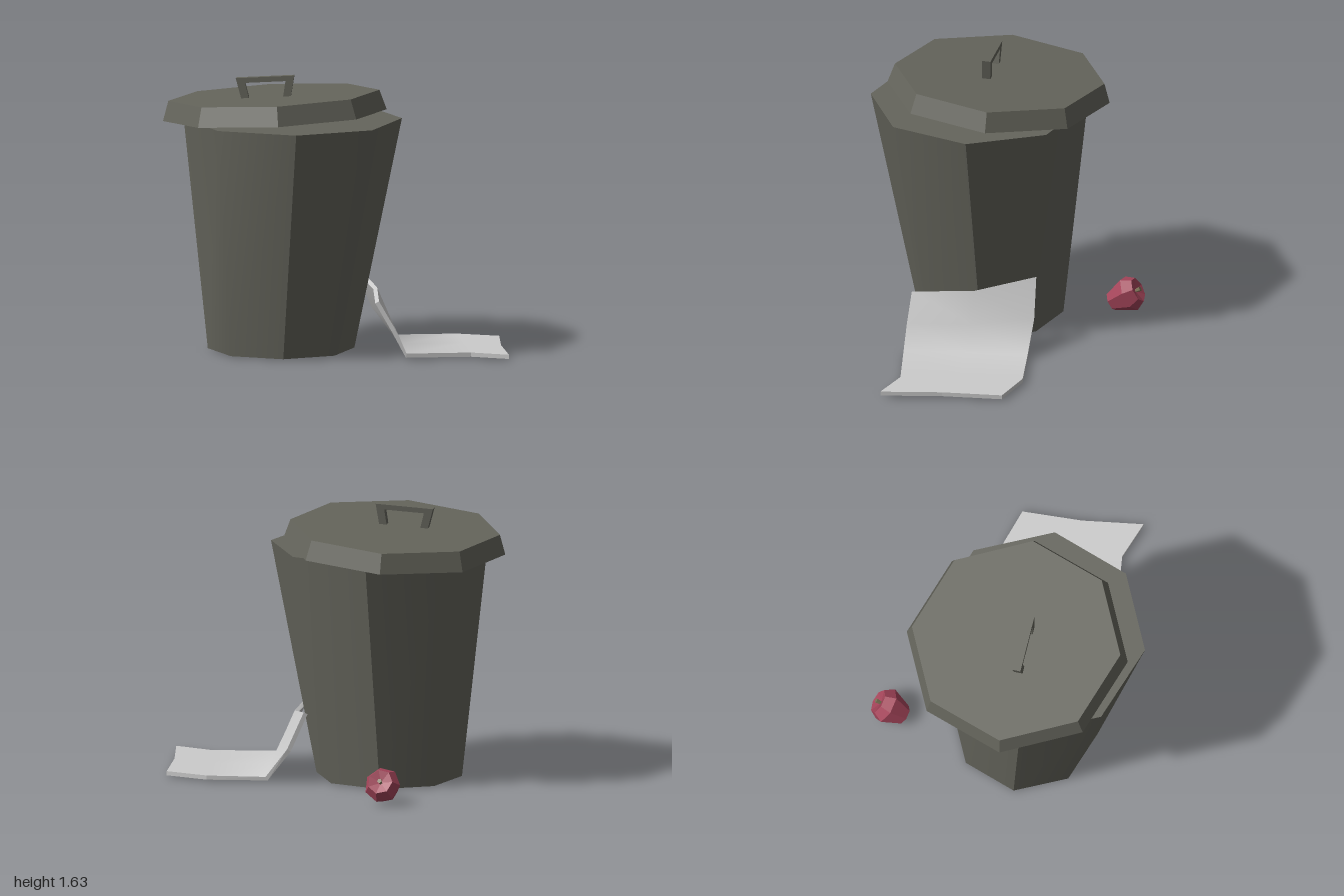
import * as THREE from 'three';

const material = (color, options = {}) => new THREE.MeshStandardMaterial({ color, ...options });

function addMesh(parent, name, geometry, mat) {
  const mesh = new THREE.Mesh(geometry, mat);
  mesh.name = name;
  parent.add(mesh);
  return mesh;
}

// Tapered, slightly leaning eight-sided can; each side pair is softly shaded
function createCan(mat) {
  const can = new THREE.Group();
  can.name = 'can';
  const bottom = 0.015, top = 1.385, rBottom = 0.43, rTop = 0.64;
  const height = top - bottom;
  for (let k = 0; k < 4; k++) {
    const g = new THREE.CylinderGeometry(rTop, rBottom, height, 2, 1, true, Math.PI / 4 + k * Math.PI / 2, Math.PI / 2);
    const p = g.attributes.position;
    for (let i = 0; i < p.count; i++) {
      const t = p.getY(i) / height + 0.5;
      p.setX(i, p.getX(i) - 0.29 + 0.09 * t);
      p.setZ(i, p.getZ(i) + 0.21 - 0.005 * t);
    }
    g.translate(0, (top + bottom) / 2, 0);
    g.computeVertexNormals();
    addMesh(can, 'canWall', g, mat);
  }
  const topCap = addMesh(can, 'canTop', new THREE.CircleGeometry(rTop, 8), mat);
  topCap.rotation.x = -Math.PI / 2;
  topCap.position.set(-0.2, top, 0.205);
  const base = addMesh(can, 'canBase', new THREE.CircleGeometry(rBottom, 8), mat);
  base.rotation.x = Math.PI / 2;
  base.position.set(-0.29, bottom, 0.21);
  return can;
}

// Tilted, shifted lid with an arch handle
function createLid(mat) {
  const lid = new THREE.Group();
  lid.name = 'lid';
  const height = 0.117;
  const plate = new THREE.CylinderGeometry(0.62, 0.657, height, 8);
  plate.translate(0, height / 2, 0);
  addMesh(lid, 'lidPlate', plate, mat);

  const arch = new THREE.Shape([
    [-0.145, -0.005], [-0.172, 0.12], [0.172, 0.12], [0.145, -0.005],
    [0.1, -0.005], [0.119, 0.09], [-0.119, 0.09], [-0.1, -0.005],
  ].map(([x, y]) => new THREE.Vector2(x, y)));
  const handleGeometry = new THREE.ExtrudeGeometry(arch, { depth: 0.05, bevelEnabled: false });
  handleGeometry.translate(0, 0, -0.025);
  const handle = addMesh(lid, 'lidHandle', handleGeometry, mat);
  handle.position.set(0.007, height, 0.073);
  handle.rotation.y = 0.704;

  lid.position.set(-0.345, 1.39, 0.205);
  lid.rotation.z = 0.0686;
  return lid;
}

// Bent sheet: rows run from the flat far edge to the edge leaning on the can
function createSheet(mat) {
  const rows = [
    [[0.99, 0.032, -0.38], [0.71, 0.032, -0.61], [0.46, 0.032, -0.86]],
    [[0.77, 0.032, -0.29], [0.49, 0.032, -0.52], [0.22, 0.032, -0.75]],
    [[0.52, 0.032, 0.0], [0.25, 0.032, -0.25], [-0.02, 0.032, -0.49]],
    [[0.46, 0.18, 0.045], [0.18, 0.19, -0.21], [-0.13, 0.21, -0.41]],
    [[0.38, 0.345, 0.1], [0.12, 0.37, -0.16], [-0.2, 0.435, -0.34]],
  ];
  const cols = 3, half = 0.0125;
  const faces = [];
  for (let r = 0; r < rows.length - 1; r++) {
    for (let c = 0; c < cols - 1; c++) {
      const a = r * cols + c, b = a + 1, d = a + cols, e = d + 1;
      faces.push(a, b, d, b, e, d);
    }
  }
  const middle = new THREE.BufferGeometry();
  middle.setAttribute('position', new THREE.Float32BufferAttribute(rows.flat(2), 3));
  middle.setIndex(faces);
  middle.computeVertexNormals();

  // Push the middle surface out along its normals
  const offset = (distance) => {
    const g = middle.clone();
    const p = g.attributes.position, n = middle.attributes.normal;
    for (let i = 0; i < p.count; i++) {
      p.setXYZ(i, p.getX(i) + n.getX(i) * distance, p.getY(i) + n.getY(i) * distance, p.getZ(i) + n.getZ(i) * distance);
    }
    return g;
  };
  const upper = offset(half), lower = offset(-half);

  // Border strip joining both faces
  const rim = [];
  const last = rows.length - 1;
  for (let c = 0; c < cols; c++) rim.push(c);
  for (let r = 1; r <= last; r++) rim.push(r * cols + cols - 1);
  for (let c = cols - 2; c >= 0; c--) rim.push(last * cols + c);
  for (let r = last - 1; r > 0; r--) rim.push(r * cols);
  const edge = [];
  rim.forEach((i, k) => {
    const j = rim[(k + 1) % rim.length];
    const at = (g, n) => new THREE.Vector3().fromBufferAttribute(g.attributes.position, n);
    const corners = [at(upper, i), at(lower, i), at(upper, j), at(upper, j), at(lower, i), at(lower, j)];
    corners.forEach((v) => edge.push(v.x, v.y, v.z));
  });
  const border = new THREE.BufferGeometry();
  border.setAttribute('position', new THREE.Float32BufferAttribute(edge, 3));
  border.computeVertexNormals();

  const sheet = new THREE.Group();
  sheet.name = 'bentSheet';
  addMesh(sheet, 'sheetUpperFace', upper, mat);
  lower.index.array.reverse();
  lower.computeVertexNormals();
  addMesh(sheet, 'sheetLowerFace', lower, mat);
  addMesh(sheet, 'sheetEdge', border, mat);
  return sheet;
}

// Faceted apple lying on its side, stem pointing up and back
function createApple() {
  const apple = new THREE.Group();
  apple.name = 'apple';
  const profile = [[0, -0.098], [0.058, -0.098], [0.108, 0.03], [0.075, 0.088], [0, 0.068]]
    .map(([x, y]) => new THREE.Vector2(x, y));
  addMesh(apple, 'appleBody', new THREE.LatheGeometry(profile, 7), material(0xa5455a, { flatShading: true }));
  const stem = addMesh(apple, 'appleStem', new THREE.CylinderGeometry(0.014, 0.01, 0.04, 5), material(0x7d7355, { flatShading: true }));
  stem.position.y = 0.083;
  const axis = new THREE.Vector3(-0.5, 0.5, -0.68).normalize();
  apple.quaternion.setFromUnitVectors(new THREE.Vector3(0, 1, 0), axis);
  apple.position.set(-0.897, 0.108, -0.3);
  return apple;
}

export function createModel() {
  const model = new THREE.Group();
  model.name = 'trashCanScene';
  model.add(createCan(material(0x65655c)));
  model.add(createLid(material(0x65655c, { flatShading: true })));
  model.add(createSheet(material(0xcccccc, { side: THREE.DoubleSide })));
  model.add(createApple());
  return model;
}
